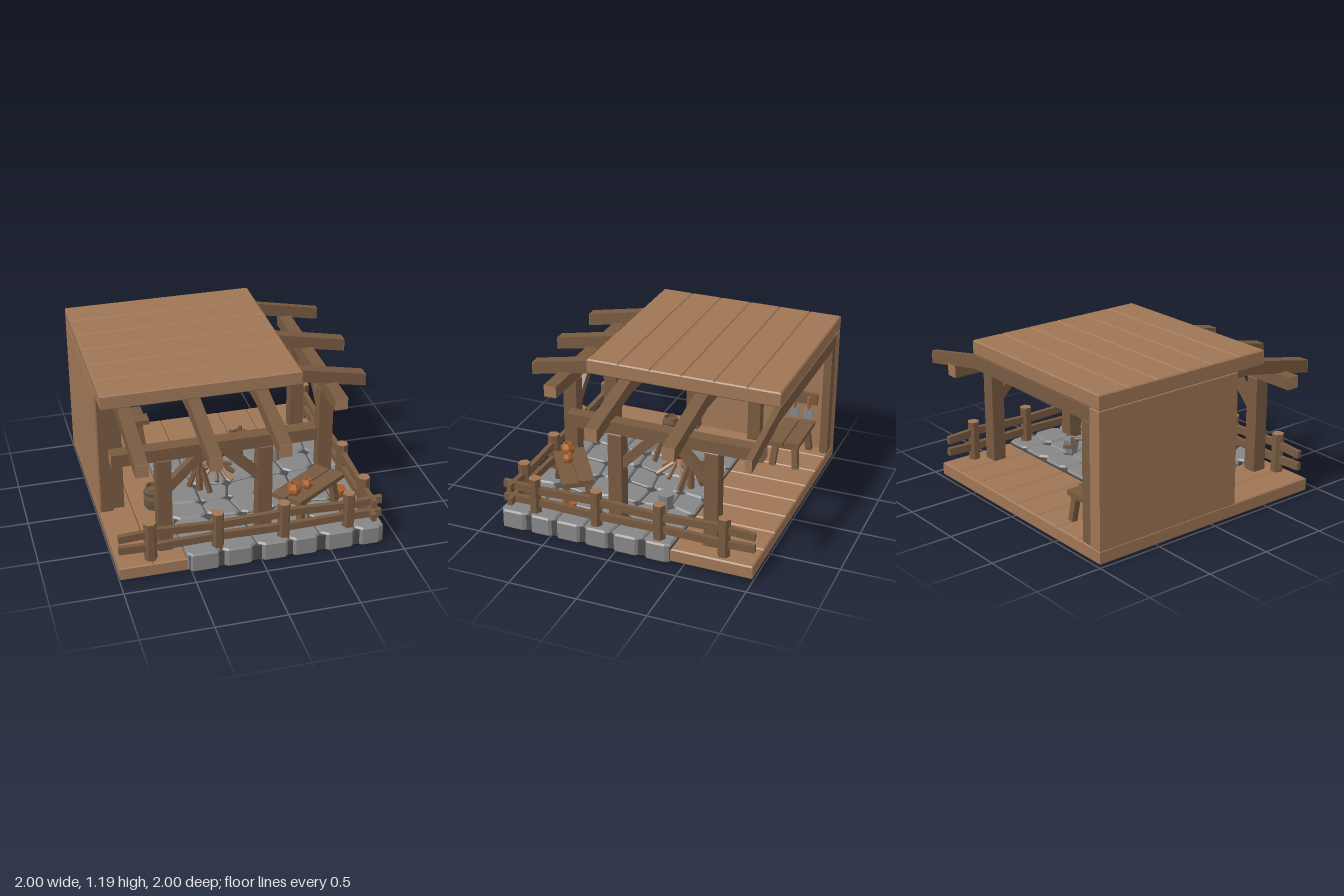
import * as THREE from 'three';

const paint = (name, color) => Object.assign(new THREE.MeshStandardMaterial({ color }), { name });

export function createModel() {
  const model = new THREE.Group();
  const plank = paint('light plank wood', 0x9f7656);
  const timber = paint('dark timber', 0x775a40);
  const stone = paint('grey stone', 0x868686);
  const mortar = paint('dark mortar', 0x4c4c4c);
  const clay = paint('orange clay', 0xa8622f);
  const meat = paint('red', 0xb8262e);
  const seam = paint('seam brown', 0x553c29);

  let seed = 7;
  const rand = () => (seed = (seed * 16807) % 2147483647) / 2147483647;

  // faceted mesh
  function add(name, geo, mat, x = 0, y = 0, z = 0, parent = model) {
    const g = geo.index ? geo.toNonIndexed() : geo;
    g.computeVertexNormals();
    const m = new THREE.Mesh(g, mat);
    m.name = name;
    m.position.set(x, y, z);
    parent.add(m);
    return m;
  }
  // box given by its min and max corners
  function box(name, [x0, x1], [y0, y1], [z0, z1], mat, parent) {
    return add(name, new THREE.BoxGeometry(x1 - x0, y1 - y0, z1 - z0), mat,
      (x0 + x1) / 2, (y0 + y1) / 2, (z0 + z1) / 2, parent);
  }
  // upright prism with chamfered edges; pts are [x, z]
  function prism(name, pts, y0, y1, c, mat, parent) {
    const shape = new THREE.Shape(pts.map(p => new THREE.Vector2(p[0], -p[1])));
    const g = new THREE.ExtrudeGeometry(shape, {
      depth: y1 - y0 - 2 * c, bevelThickness: c, bevelSize: c, bevelOffset: -c, bevelSegments: 1 });
    g.rotateX(-Math.PI / 2).translate(0, y0 + c, 0);
    return add(name, g, mat, 0, 0, 0, parent);
  }
  const slab = (name, [x0, x1], [y0, y1], [z0, z1], mat, c = 0.009) =>
    prism(name, [[x0, z0], [x0, z1], [x1, z1], [x1, z0]], y0, y1, c, mat);
  // straight piece between two points
  function rod(name, a, b, w, d, mat, sides = 4, parent = model) {
    const A = new THREE.Vector3(...a), B = new THREE.Vector3(...b), L = A.distanceTo(B);
    const g = sides === 4 ? new THREE.BoxGeometry(w, L, d) : new THREE.CylinderGeometry(w / 2, d / 2, L, sides);
    const m = add(name, g, mat, 0, 0, 0, parent);
    m.position.copy(A).add(B).multiplyScalar(0.5);
    m.quaternion.setFromUnitVectors(new THREE.Vector3(0, 1, 0), B.sub(A).normalize());
    return m;
  }
  const turned = (name, pts, mat, x, y, z, sides = 6) =>
    add(name, new THREE.LatheGeometry(pts.map(p => new THREE.Vector2(...p)), sides), mat, x, y, z);

  // wooden deck, planks run front to back
  const P = 0.235;
  for (let i = 0; i < 8; i++) {
    const x = -1 + i * P;
    slab('deckPlank', [x, x + P], [0.02, 0.12], [-1, i < 2 ? 0.88 : -0.41], plank);
  }
  box('deckCore', [-0.985, 0.86], [0.035, 0.112], [-0.985, -0.42], seam);
  box('deckCore', [-0.985, -0.54], [0.035, 0.112], [-0.42, 0.865], seam);

  // stone paving from a jittered grid with cut corners
  box('pavingBase', [-0.515, 0.87], [0.012, 0.128], [-0.41, 0.87], mortar);
  const N = 6, corner = [];
  for (let i = 0; i <= N; i++) for (let j = 0; j <= N; j++) {
    const jit = () => (rand() - 0.5) * 0.07;
    const inX = i > 0 && i < N, inZ = j > 0 && j < N;
    corner.push([-0.53 + i * 1.42 / N + (inX ? jit() : 0), -0.41 + j * 1.3 / N + (inZ ? jit() : 0)]);
  }
  for (let i = 0; i < N; i++) for (let j = 0; j < N; j++) {
    const at = (a, b) => corner[(i + a) * (N + 1) + j + b];
    const quad = [at(0, 0), at(0, 1), at(1, 1), at(1, 0)];
    const cx = quad.reduce((s, p) => s + p[0], 0) / 4, cz = quad.reduce((s, p) => s + p[1], 0) / 4;
    const pts = [];
    quad.forEach((p, k) => [quad[(k + 3) % 4], quad[(k + 1) % 4]].forEach(q => {
      const t = 0.1 + rand() * 0.12;
      const x = p[0] + (q[0] - p[0]) * t, z = p[1] + (q[1] - p[1]) * t;
      pts.push([x + (cx - x) * 0.03, z + (cz - z) * 0.03]);
    }));
    const edge = i === 0 || j === 0 || i === N - 1 || j === N - 1;
    prism('pavingStone', pts, edge ? 0 : 0.05, edge ? 0.145 : 0.135 + rand() * 0.008, 0.012, stone);
  }

  // plank roof and plank wall
  for (let i = 0; i < 6; i++) {
    const z = -1 + i * P;
    slab('roofPlank', [-1, 0.41], [1.08, 1.19], [z, z + P], plank);
    if (i < 5) slab('wallPlank', [-1, -0.9], [0.11, 1.085], [z, z + P], plank);
  }
  box('roofCore', [-0.985, 0.395], [1.09, 1.178], [-0.985, 0.395], seam);
  box('wallCore', [-0.99, -0.912], [0.1, 1.1], [-0.985, 0.16], seam);

  // wall framing
  for (const [z0, z1] of [[0.05, 0.15], [-0.46, -0.36], [-1, -0.94]])
    slab('wallPost', [-0.9, -0.82], [0.12, 0.98], [z0, z1], timber, 0.006);
  slab('wallEndPost', [-0.99, -0.9], [0.12, 1.08], [0.1, 0.18], timber, 0.006);

  // frame of two purlins, four posts, braces and fence, mirrored across the x = z diagonal
  const endX = [plank, plank, timber, timber, timber, timber];
  const capped = [timber, plank, plank];
  function side(parent) {
    // purlin
    box('purlin', [-1, 0.41], [0.84, 0.93], [0.655, 0.75], endX, parent);
    for (const [x, dir] of [[-0.65, 1], [0.05, -1]]) {
      const post = [[x - 0.05, 0.65], [x - 0.05, 0.755], [x + 0.05, 0.755], [x + 0.05, 0.65]];
      prism('roofPost', post, 0.12, 0.845, 0.008, timber, parent);
      rod('brace', [x + dir * 0.02, 0.59, 0.7], [x + dir * 0.29, 0.86, 0.7], 0.065, 0.06, timber, 4, parent);
    }
    // fence
    const posts = [-0.77, -0.3, 0.17, 0.64];
    for (const x of posts) {
      const g = new THREE.CylinderGeometry(0.045, 0.045, 0.29, 6);
      g.rotateY(Math.PI / 6);
      add('fencePost', g, capped, x, 0.265, 0.81, parent);
    }
    const ends = [-0.99, -0.77, -0.3, 0.17, 0.64, 0.88];
    [0.218, 0.32].forEach((y, r) => {
      for (let i = 0; i < 5; i++) {
        const a = (i % 2 ? 0.012 : -0.008) * (r ? 1 : -0.5);
        rod('fenceRail', [ends[i], y + a, 0.81], [ends[i + 1], y - a * 0.6, 0.81], 0.055, 0.035, timber, 4, parent);
      }
    });
  }
  const front = new THREE.Group(), right = new THREE.Group();
  front.name = 'frontFrame';
  right.name = 'rightFrame';
  side(front);
  side(right);
  right.rotation.y = Math.PI / 2;
  right.scale.x = -1;   // swaps x and z
  right.rotation.y = -Math.PI / 2;
  right.scale.set(1, 1, -1);
  model.add(front, right);

  // bent rafters, flat under the roof and sloping beyond it
  function rafter(at, width, end, alongZ) {
    const y = x => 1.075 - (x - 0.41) * 0.2;
    const s = new THREE.Shape([[-0.995, 0.98], [0.4, 0.98], [end, y(end) - 0.092], [end, y(end)], [0.41, 1.075], [-0.995, 1.075]]
      .map(p => new THREE.Vector2(...p)));
    const g = new THREE.ExtrudeGeometry(s, { depth: width, bevelEnabled: false }).translate(0, 0, -width / 2);
    const grp = new THREE.Group();
    grp.name = alongZ ? 'frontRafter' : 'rightRafter';
    add('rafterBeam', g, timber, 0, 0, 0, grp);
    box('rafterEnd', [end, end + 0.004], [y(end) - 0.092, y(end)], [-width / 2, width / 2], plank, grp);
    if (alongZ) { grp.rotation.y = -Math.PI / 2; grp.position.x = at; } else grp.position.z = at;
    model.add(grp);
  }
  [[-0.84, 0.96], [-0.355, 0.995], [0.125, 0.96]].forEach(([p, e], i) => {
    rafter(p, 0.09, e, true);
    rafter(i ? [0, -0.44, 0.125][i] : -0.977, i ? 0.09 : 0.045, e, false);
  });

  // fire pit with spit roast, laid along the diagonal
  const pit = new THREE.Group();
  pit.name = 'firePit';
  pit.position.set(-0.08, 0.14, -0.08);
  pit.rotation.y = Math.PI / 4;
  model.add(pit);
  for (const s of [-1, 1]) {
    rod('spitPost', [s * 0.24, 0, 0], [s * 0.24, 0.27, 0], 0.055, 0.055, capped, 6, pit);
    for (const t of [-1, 1])
      rod('spitStrut', [s * 0.24, 0, t * 0.09], [s * 0.24, 0.19, t * 0.02], 0.03, 0.03, timber, 4, pit);
  }
  rod('spitBar', [-0.3, 0.22, 0], [0.36, 0.22, 0], 0.022, 0.022, timber, 6, pit);
  rod('crankArm', [0.36, 0.23, 0], [0.36, 0.15, 0], 0.022, 0.022, timber, 4, pit);
  rod('crankHandle', [0.35, 0.155, 0], [0.43, 0.155, 0], 0.022, 0.022, timber, 4, pit);
  const roast = turned('roast', [[0, -0.13], [0.045, -0.125], [0.085, -0.03], [0.075, 0.06], [0.035, 0.12], [0, 0.125]], meat, 0, 0.22, 0);
  roast.rotation.z = Math.PI / 2;
  pit.add(roast);
  for (let i = 0; i < 8; i++) {
    const a = i * Math.PI / 4 + 0.2, c = Math.cos(a), s = Math.sin(a);
    const log = i % 2 ? 0.13 : 0.16;
    rod('fireLog', [c * log, 0.015, s * log], [c * 0.02, 0.1, s * 0.02], 0.032, 0.036, i % 2 ? timber : plank, 6, pit);
  }

  // small bench with a plank top and splayed legs
  function bench(name, x, z, len, wid, top, base, turn) {
    const b = new THREE.Group();
    b.name = name;
    b.position.set(x, 0, z);
    b.rotation.y = turn;
    for (const s of [-1, 1]) {
      box('benchPlank', [-len / 2 + s * 0.012, len / 2 + s * 0.012], [top - 0.035, top],
        [s * wid / 4 - wid / 4 + 0.004, s * wid / 4 + wid / 4 - 0.004], timber, b);
      for (const t of [-1, 1])
        rod('benchLeg', [s * len * 0.4, base, t * wid * 0.38], [s * len * 0.35, top - 0.03, t * wid * 0.3], 0.045, 0.045, timber, 4, b);
      box('benchBatten', [s * len * 0.35 - 0.025, s * len * 0.35 + 0.025], [top - 0.07, top - 0.035], [-wid * 0.42, wid * 0.42], timber, b);
    }
    model.add(b);
  }
  bench('diningBench', 0.44, 0.52, 0.5, 0.24, 0.345, 0.14, 0.59);
  bench('workBench', -0.68, -0.76, 0.42, 0.24, 0.34, 0.12, 0);

  // clay pots and barrel
  const pot = [[0, 0], [0.6, 0], [1, 0.6], [1, 1.1], [0.65, 1.8], [0.5, 1.8], [0.45, 1.3], [0, 1.3]];
  const scaled = k => pot.map(p => [p[0] * k, p[1] * k]);
  turned('largeCup', scaled(0.051), clay, 0.3, 0.345, 0.63);
  turned('smallCup', scaled(0.04), clay, 0.41, 0.345, 0.575);
  turned('bucket', [[0, 0], [0.04, 0], [0.058, 0.065], [0.046, 0.065], [0.035, 0.02], [0, 0.02]], clay, 0.7, 0.14, 0.43);
  turned('barrel', [[0, 0], [0.055, 0], [0.07, 0.09], [0.055, 0.18], [0.046, 0.18], [0.046, 0.15], [0, 0.15]], timber, -0.62, 0.12, 0.2, 8);
  for (const y of [0.155, 0.25])
    add('barrelHoop', new THREE.CylinderGeometry(0.068, 0.068, 0.016, 8), mortar, -0.62, y, 0.2);
  add('stoneStool', new THREE.CylinderGeometry(0.065, 0.045, 0.11, 6), stone, 0.4, 0.195, -0.18);

  // wall shelf with bottles
  box('shelf', [-0.9, -0.79], [0.535, 0.558], [-0.33, 0.01], timber);
  for (const z of [-0.04, -0.265]) {
    box('shelfBracket', [-0.9, -0.875], [0.46, 0.535], [z - 0.018, z + 0.018], timber);
    rod('shelfStrut', [-0.89, 0.47, z], [-0.81, 0.54, z], 0.022, 0.03, timber);
  }
  const bottle = [[0, 0], [0.035, 0], [0.042, 0.03], [0.018, 0.06], [0.018, 0.08], [0.025, 0.098], [0, 0.098]];
  turned('redBottle', bottle, meat, -0.84, 0.558, -0.14);
  turned('clayJug', bottle.map(p => [p[0] * 1.1, p[1] * 1.2]), clay, -0.84, 0.558, -0.27);

  // tool rack
  box('toolRack', [-0.9, -0.87], [0.485, 0.575], [-0.89, -0.54], timber);
  for (const z of [-0.72, -0.83]) {
    rod('toolHandle', [-0.855, 0.45, z], [-0.855, 0.555, z], 0.028, 0.028, clay, 6);
    box('toolBlade', [-0.86, -0.85], [0.37, 0.46], [z - 0.035, z + 0.035], stone);
  }
  return model;
}
